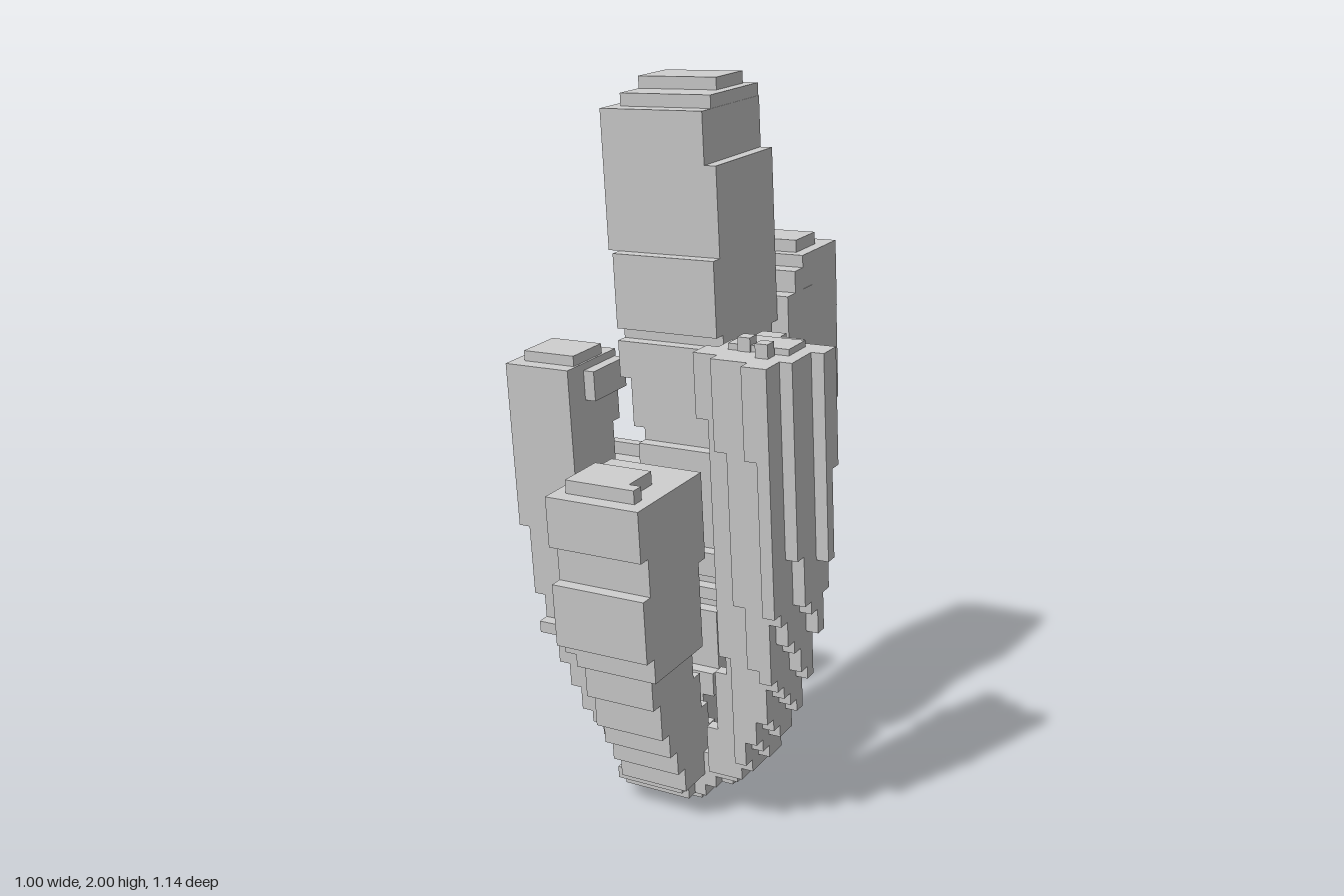
import * as THREE from 'three';
import { mergeGeometries } from 'three/addons/utils/BufferGeometryUtils.js';

const V = 0.0345;                              // voxel size
const OX = V / 2, OY = 0.013, OZ = -0.11;      // voxel grid origin
const snap = (a, o) => o + Math.round((a - o) / V) * V;
const material = new THREE.MeshStandardMaterial({ color: 0xcccccc, flatShading: true });

function box(x0, x1, y0, y1, z0, z1) {
  const g = new THREE.BoxGeometry(x1 - x0, y1 - y0, z1 - z0);
  return g.translate((x0 + x1) / 2, (y0 + y1) / 2, (z0 + z1) / 2);
}

// Linear interpolation along keys of [y, centreX, centreZ, width, depth]
function sample(keys, y) {
  let i = 1;
  while (i < keys.length - 1 && keys[i][0] < y) i++;
  const a = keys[i - 1], b = keys[i];
  const t = THREE.MathUtils.clamp((y - a[0]) / (b[0] - a[0]), 0, 1);
  return a.map((v, k) => v + (b[k] - v) * t);
}

// Rows [x0, x1, z0, z1] of one layer: a single block, or voxel rows of a turned square
function layerRows([, cx, cz, w, d], angle) {
  if (angle === undefined) {
    const x0 = snap(cx - w / 2, OX), z0 = snap(cz - d / 2, OZ);
    return [[x0, x0 + Math.round(w / V) * V, z0, z0 + Math.round(d / V) * V]];
  }
  const rows = [], c = Math.cos(angle), s = Math.sin(angle);
  const n = 7, bx = snap(cx, OX), bz = snap(cz, OZ);
  for (let j = -n; j < n; j++) {
    let lo = Infinity, hi = -Infinity;
    for (let i = -n; i < n; i++) {
      const dx = bx + (i + 0.5) * V - cx, dz = bz + (j + 0.5) * V - cz;
      if (Math.abs(dx * c + dz * s) <= w / 2 && Math.abs(dz * c - dx * s) <= d / 2) {
        lo = Math.min(lo, bx + i * V);
        hi = Math.max(hi, bx + (i + 1) * V);
      }
    }
    if (hi > lo) rows.push([lo, hi, bz + j * V, bz + (j + 1) * V]);
  }
  return rows;
}

// Stem made of voxel layers, equal neighbouring layers joined into one box
function stem(name, keys, caps, angle) {
  const top = keys[keys.length - 1][0], open = new Map(), parts = [];
  const close = (key) => {
    const { row, y0, y1 } = open.get(key);
    parts.push(box(row[0], row[1], y0, y1, row[2], row[3]));
    open.delete(key);
  };
  for (let y = OY; y < top - V / 2; y += V) {
    const seen = new Set();
    for (const row of layerRows(sample(keys, y + V / 2), angle)) {
      const key = row.map((v) => v.toFixed(3)).join();
      seen.add(key);
      if (open.has(key)) open.get(key).y1 = y + V;
      else open.set(key, { row, y0: y, y1: y + V });
    }
    for (const key of [...open.keys()]) if (!seen.has(key)) close(key);
  }
  for (const key of [...open.keys()]) close(key);
  // caps: [x0, x1, topY, z0, z1]
  for (const [x0, x1, y1, z0, z1] of caps) parts.push(box(x0, x1, top - 0.1, y1, z0, z1));
  const mesh = new THREE.Mesh(mergeGeometries(parts), material);
  mesh.name = name;
  return mesh;
}

export function createModel() {
  const cactus = new THREE.Group();
  cactus.name = 'cactus';
  const base = [0.035, -0.035, 0.012, 0.24, 0.24];

  cactus.add(stem('mainStem', [
    base, [0.1, 0, 0.01, 0.175, 0.175], [0.3, 0, 0, 0.175, 0.175],
    [0.38, 0.017, -0.02, 0.21, 0.21], [0.56, 0.017, -0.05, 0.21, 0.21],
    [0.62, 0.017, -0.06, 0.24, 0.24], [0.7, 0.017, -0.085, 0.275, 0.275], [0.82, 0.017, -0.115, 0.275, 0.275],
    [0.85, 0.034, -0.125, 0.31, 0.3], [1.02, 0.034, -0.145, 0.31, 0.31],
    [1.07, 0, -0.165, 0.31, 0.31], [1.18, 0, -0.17, 0.31, 0.31],
    [1.22, -0.035, -0.175, 0.31, 0.31], [1.3, -0.035, -0.175, 0.31, 0.31],
    [1.34, -0.035, -0.186, 0.31, 0.345], [1.5, -0.035, -0.186, 0.31, 0.345],
    [1.53, -0.052, -0.203, 0.345, 0.31], [1.76, -0.052, -0.203, 0.345, 0.31],
    [1.78, -0.069, -0.203, 0.31, 0.31], [1.91, -0.069, -0.203, 0.31, 0.31],
  ], [
    [-0.19, 0.085, 1.945, -0.35, -0.09], [-0.19, 0.05, 1.978, -0.33, -0.185],
  ]));

  cactus.add(stem('backArm', [
    base, [0.08, -0.02, -0.08, 0.21, 0.21], [0.14, 0, -0.135, 0.175, 0.175],
    [0.2, 0, -0.19, 0.175, 0.175], [0.28, 0, -0.265, 0.175, 0.175], [0.38, 0, -0.325, 0.175, 0.19],
    [0.42, 0.017, -0.34, 0.21, 0.21], [0.56, 0.017, -0.4, 0.21, 0.21],
    [0.62, 0.017, -0.42, 0.24, 0.24], [0.84, 0.017, -0.478, 0.275, 0.25],
    [0.92, 0, -0.49, 0.31, 0.28], [1.1, 0, -0.515, 0.31, 0.31], [1.36, 0, -0.515, 0.31, 0.31],
  ], [
    [-0.155, 0.155, 1.42, -0.665, -0.4], [-0.12, 0.155, 1.455, -0.665, -0.45],
    [-0.085, 0.12, 1.49, -0.6, -0.48],
  ]));

  cactus.add(stem('frontArm', [
    base, [0.06, -0.035, 0.085, 0.21, 0.21], [0.14, 0.017, 0.155, 0.21, 0.19],
    [0.26, 0.017, 0.22, 0.21, 0.19], [0.36, 0.017, 0.265, 0.21, 0.21], [0.45, 0.017, 0.305, 0.21, 0.21],
    [0.54, 0.017, 0.325, 0.21, 0.23], [0.57, 0.017, 0.32, 0.275, 0.25], [0.7, 0.017, 0.328, 0.275, 0.275],
    [1.018, 0.017, 0.312, 0.275, 0.31],
  ], [[-0.085, 0.085, 1.05, 0.295, 0.435], [0.08, 0.12, 1.05, 0.4, 0.435]]));

  cactus.add(stem('sideArm', [
    base, [0.06, -0.11, 0.015, 0.175, 0.175], [0.11, -0.15, 0.015, 0.175, 0.175],
    [0.16, -0.195, 0.015, 0.175, 0.175], [0.22, -0.235, 0.015, 0.175, 0.175], [0.3, -0.277, 0.015, 0.175, 0.175],
    [0.38, -0.31, 0.012, 0.19, 0.175], [0.5, -0.328, 0.008, 0.21, 0.21], [0.58, -0.354, 0.004, 0.21, 0.21],
    [0.71, -0.364, 0, 0.21, 0.21], [0.75, -0.397, -0.005, 0.21, 0.21], [0.95, -0.397, -0.012, 0.21, 0.21],
    [1.1, -0.397, -0.026, 0.21, 0.24], [1.215, -0.397, -0.026, 0.21, 0.24],
  ], [
    [-0.465, -0.3, 1.25, -0.085, 0.055], [-0.3, -0.26, 1.2, -0.14, 0.02],
  ]));

  // Two stems with turned square sections
  cactus.add(stem('turnedTallArm', [
    [0.035, -0.02, 0.035, 0.15, 0.15], [0.07, 0.08, 0.08, 0.13, 0.13], [0.18, 0.215, 0.13, 0.13, 0.13],
    [0.3, 0.272, 0.14, 0.15, 0.15], [0.5, 0.322, 0.15, 0.175, 0.175], [0.75, 0.352, 0.157, 0.215, 0.215],
    [1.1, 0.358, 0.157, 0.23, 0.23], [1.3, 0.348, 0.155, 0.25, 0.25], [1.36, 0.348, 0.155, 0.25, 0.25],
  ], [
    [0.26, 0.43, 1.375, 0.09, 0.18], [0.29, 0.325, 1.395, 0.15, 0.185], [0.36, 0.395, 1.395, 0.19, 0.225],
  ], 0.33));

  cactus.add(stem('turnedShortArm', [
    [0.035, -0.035, 0.0, 0.14, 0.14], [0.07, -0.12, -0.06, 0.12, 0.12], [0.16, -0.2, -0.13, 0.12, 0.12],
    [0.3, -0.28, -0.195, 0.135, 0.135], [0.5, -0.338, -0.245, 0.155, 0.155], [0.65, -0.365, -0.27, 0.175, 0.175],
    [0.78, -0.37, -0.278, 0.188, 0.188], [0.85, -0.37, -0.278, 0.188, 0.188],
  ], [[-0.43, -0.3, 0.88, -0.32, -0.29]], 0.7));

  // The whole plant leans slightly forward
  cactus.rotation.x = 0.0925;
  const model = new THREE.Group();
  model.name = 'model';
  model.add(cactus);
  return model;
}
